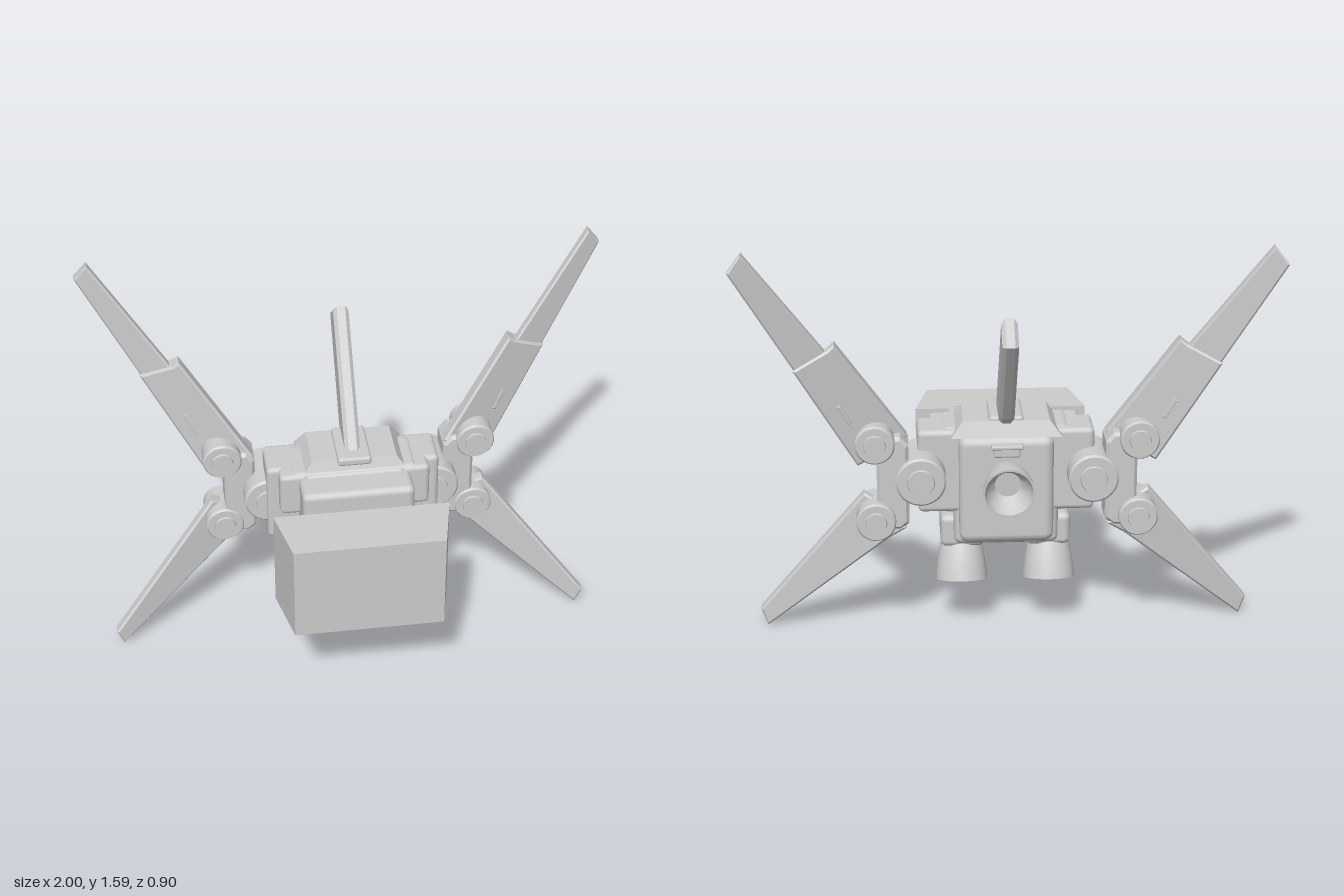
import * as THREE from 'three';
import { RoundedBoxGeometry } from 'three/addons/geometries/RoundedBoxGeometry.js';
import { toCreasedNormals } from 'three/addons/utils/BufferGeometryUtils.js';

export function createModel() {
  const model = new THREE.Group();
  const grey = new THREE.MeshStandardMaterial({ color: 0xcccccc, side: THREE.DoubleSide });
  grey.name = 'light grey';

  const add = (name, geo, parent = model) => {
    const mesh = new THREE.Mesh(geo, grey);
    mesh.name = name;
    parent.add(mesh);
    return mesh;
  };

  // Rounded block given by its extents
  const block = (name, [x0, x1], [y0, y1], [z0, z1], r = 0.02, parent = model) => {
    const mesh = add(name, new RoundedBoxGeometry(x1 - x0, y1 - y0, z1 - z0, 2, r), parent);
    mesh.position.set((x0 + x1) / 2, (y0 + y1) / 2, (z0 + z1) / 2);
    return mesh;
  };

  // Solid with a flat outline, bevelled, centred on its thickness
  const plate = (points, depth, bevel) => {
    const shape = new THREE.Shape(points.map(p => new THREE.Vector2(...p)));
    const geo = new THREE.ExtrudeGeometry(shape, {
      depth: depth - 2 * bevel, bevelEnabled: bevel > 0, bevelThickness: bevel,
      bevelSize: bevel, bevelOffset: -bevel, bevelSegments: 1,
    });
    return geo.translate(0, 0, bevel - depth / 2);
  };

  // Slant a plate in z along x
  const slant = (geo, slope, z0) => {
    const p = geo.attributes.position;
    for (let i = 0; i < p.count; i++) p.setZ(i, p.getZ(i) + z0 + slope * p.getX(i));
    geo.computeVertexNormals();
    return geo;
  };

  const lathe = pts => toCreasedNormals(
    new THREE.LatheGeometry(pts.map(p => new THREE.Vector2(...p)), 32), 0.6);

  // Round hinge along z, with a small raised cap on both ends
  const hinge = (name, x, y, r, z0, z1, parent) => {
    const h = (z1 - z0) / 2, s = 0.008;
    const mesh = add(name, lathe([
      [0, -h], [r * 0.52, -h], [r * 0.55, -h + s], [r * 0.92, -h + s], [r, -h + 2 * s],
      [r, h - 2 * s], [r * 0.92, h - s], [r * 0.55, h - s], [r * 0.52, h], [0, h],
    ]), parent);
    mesh.rotation.x = Math.PI / 2;
    mesh.position.set(x, y, (z0 + z1) / 2);
  };

  // Hollow bell, open end at y = 0, throat at y = h
  const bell = (name, r, h, parent = model) => add(name, lathe([
    [0, h * 0.5], [r * 0.5, h * 0.5], [r * 0.78, h * 0.25], [r * 0.92, 0], [r, 0],
    [r * 0.97, h * 0.2], [r * 0.9, h * 0.45], [r * 0.78, h * 0.75], [r * 0.62, h], [0, h],
  ]), parent);

  // Separate tapered shield in front
  const shield = plate([[-0.335, -0.225], [0.335, -0.225], [0.285, -0.45], [-0.285, -0.45]], 0.395, 0);
  shield.rotateX(-Math.PI / 2);
  add('frontShield', shield).position.y = 0.58;

  // Central body
  block('chestBlock', [-0.215, 0.215], [0.345, 0.815], [-0.02, 0.168], 0.025);
  block('core', [-0.2, 0.2], [0.36, 0.83], [-0.17, 0.06], 0.03);
  block('backSlab', [-0.18, 0.18], [0.38, 0.81], [-0.205, -0.08], 0.035);
  block('collar', [-0.24, 0.24], [0.77, 0.835], [-0.15, 0.05], 0.02);

  // Stepped top cap: shrinks towards the top
  const cap = new THREE.BoxGeometry(0.42, 0.06, 0.25).toNonIndexed();
  const cp = cap.attributes.position;
  for (let i = 0; i < cp.count; i++) {
    if (cp.getY(i) > 0) cp.setXYZ(i, cp.getX(i) * 0.78, cp.getY(i), cp.getZ(i) * 0.8);
  }
  cap.computeVertexNormals();
  add('topCap', cap).position.set(0, 0.84, -0.075);
  block('finBase', [-0.065, 0.065], [0.85, 0.885], [-0.175, 0.045], 0.012);

  // Top fin, swept backwards; outline drawn as (-z, y)
  const fin = plate([[-0.01, 0.85], [0.01, 0.885], [0.345, 1.325], [0.45, 1.245], [0.2, 0.885], [0.17, 0.85]], 0.06, 0.014);
  fin.rotateY(Math.PI / 2);
  add('topFin', fin);

  // Rear thruster and the bracket above it
  const rear = bell('rearThruster', 0.098, 0.16);
  rear.rotation.x = Math.PI / 2 - 0.06;
  rear.position.set(0, 0.645, -0.35);
  block('rearBracket', [-0.05, 0.05], [0.74, 0.785], [-0.23, -0.18], 0.008);
  block('rearBracketTop', [-0.06, 0.06], [0.775, 0.79], [-0.24, -0.18], 0.005);

  for (const side of [1, -1]) {
    const half = new THREE.Group();
    half.name = side > 0 ? 'leftSide' : 'rightSide';
    half.scale.x = side;
    model.add(half);

    // Shoulder, pods and hip
    block('shoulderBlock', [0.16, 0.335], [0.5, 0.83], [-0.17, 0.0], 0.02, half);
    block('shoulderFront', [0.18, 0.29], [0.65, 0.83], [-0.03, 0.055], 0.02, half);
    block('hipBlock', [0.08, 0.25], [0.335, 0.465], [-0.13, 0.04], 0.025, half);
    block('sidePod', [0.16, 0.265], [0.5, 0.59], [-0.02, 0.072], 0.02, half);
    const waist = add('waistBall', new THREE.SphereGeometry(0.07, 24, 16), half);
    waist.position.set(0.2, 0.5, -0.02);

    // Lower thruster, tilted backwards
    const thruster = bell('lowerThruster', 0.1, 0.2, half);
    thruster.rotation.x = 0.28;
    thruster.position.set(0.17, 0.19, -0.092);

    // Main hinge and the upright link carrying both wings
    hinge('mainHinge', 0.325, 0.66, 0.095, -0.27, -0.02, half);
    const link = plate([[0.37, 0.49], [0.4, 0.465], [0.47, 0.465], [0.49, 0.49], [0.49, 0.81],
      [0.46, 0.835], [0.4, 0.835], [0.37, 0.8]], 0.14, 0.012);
    add('wingLink', link, half).position.z = -0.175;
    hinge('upperHinge', 0.495, 0.815, 0.075, -0.28, -0.085, half);
    hinge('lowerHinge', 0.495, 0.505, 0.075, -0.28, -0.09, half);

    // Upper wing: thick sleeve and thinner blade
    const sleeve = plate([[0.375, 0.815], [0.44, 0.775], [0.56, 0.725], [0.785, 1.13], [0.66, 1.19], [0.635, 1.21]], 0.062, 0.008);
    add('upperWingSleeve', slant(sleeve, -0.37, -0.005), half);
    const blade = plate([[0.45, 0.87], [0.56, 0.735], [1.0, 1.52], [0.95, 1.585]], 0.042, 0.007);
    add('upperWingBlade', slant(blade, -0.37, -0.005), half);
    const rib = plate([[0.575, 0.9], [0.59, 0.895], [0.63, 0.97], [0.615, 0.98]], 0.068, 0.002);
    add('upperWingRib', slant(rib, -0.37, -0.005), half);

    // Lower wing
    const lower = plate([[0.38, 0.47], [0.45, 0.42], [0.928, 0.0], [0.955, 0.066], [0.54, 0.597], [0.49, 0.57]], 0.05, 0.008);
    add('lowerWing', slant(lower, 0.3, -0.332), half);
  }
  return model;
}
